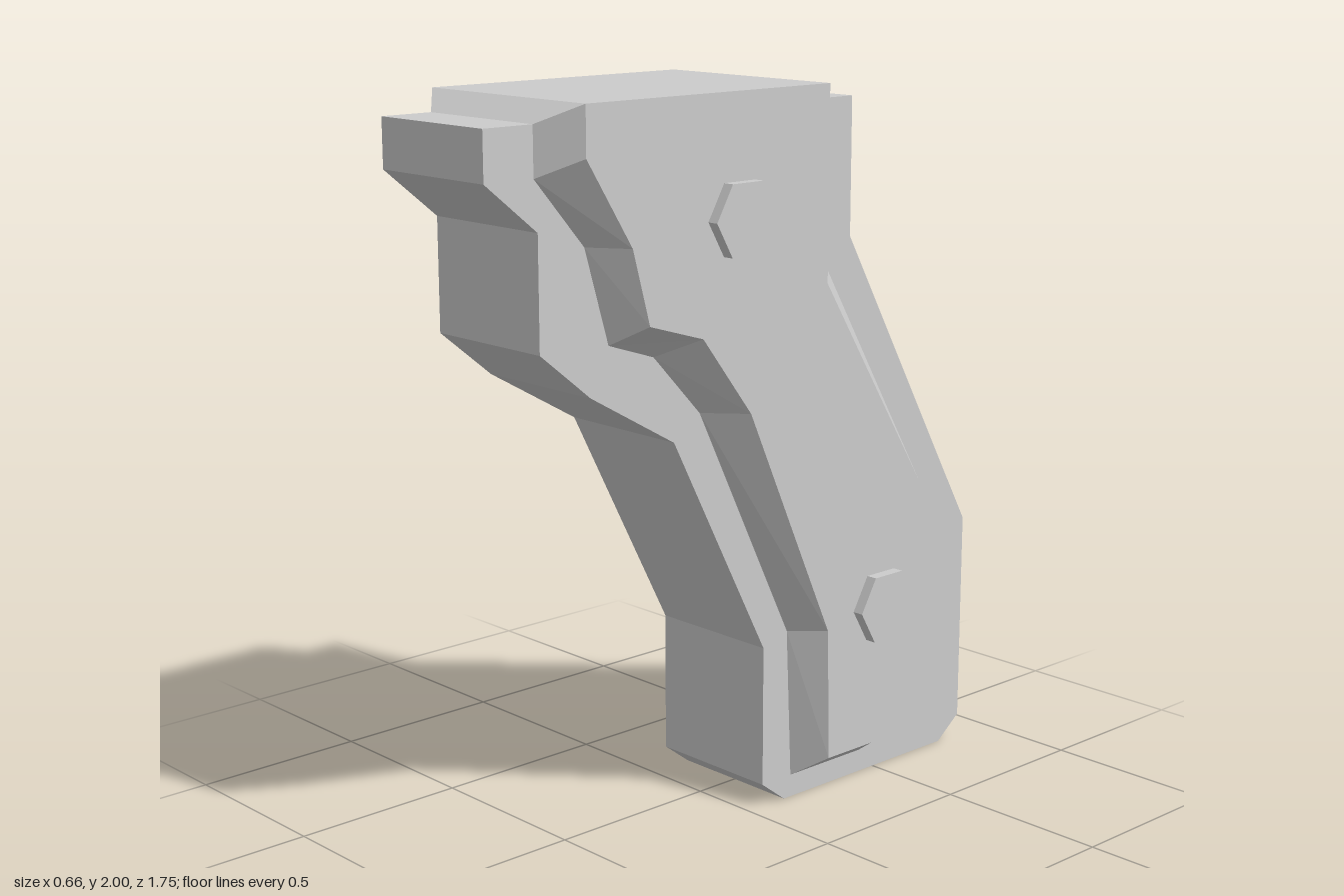
import * as THREE from 'three';

const CORE_HALF = 0.2, FACE_HALF = 0.3;

// Side profiles as [z, y], running from the top front down and round to the top back
const CORE = [
  [0.88, 1.95], [0.88, 1.82], [0.72, 1.69], [0.72, 1.39], [0.56, 1.26], [0.28, 1.1], [-0.05, 0.465],
  [-0.05, 0.065], [-0.135, 0], [-0.79, 0], [-0.875, 0.065], [-0.875, 0.68], [-0.37, 1.57], [-0.37, 1.95],
];
// Foot of the raised side panel, where it meets the core
const FOOT = [
  [0.73, 1.95], [0.73, 1.82], [0.575, 1.64], [0.5, 1.385], [0.35, 1.335], [0.19, 1.165], [-0.14, 0.495],
  [-0.16, 0.065], [-0.44, 0.065], [-0.495, 0.25], [-0.785, 0.38], [-0.78, 0.655], [-0.255, 1.535], [-0.255, 1.95],
];
// Flat outer face of the panel, inside the bevel
const FACE = [
  [0.65, 2], [0.65, 1.87], [0.505, 1.64], [0.45, 1.44], [0.27, 1.385], [0.1, 1.165], [-0.2, 0.505],
  [-0.21, 0.13], [-0.385, 0.13], [-0.44, 0.285], [-0.735, 0.405], [-0.7, 0.65], [-0.18, 1.475], [-0.18, 2],
];

const material = new THREE.MeshStandardMaterial({ color: 0xcccccc, flatShading: true });

function part(name, geometry) {
  const mesh = new THREE.Mesh(geometry, material);
  mesh.name = name;
  return mesh;
}

const outline = (loop, s) => new THREE.Shape(loop.map(([z, y]) => new THREE.Vector2(s * z, y)));
const at = (x, [z, y]) => [x, y, z];

// Separate flat quads from lists of four corners
function quads(list) {
  const geometry = new THREE.BufferGeometry();
  const corners = list.flatMap(([a, b, c, d]) => [a, b, c, a, c, d]).flat();
  geometry.setAttribute('position', new THREE.Float32BufferAttribute(corners, 3));
  geometry.computeVertexNormals();
  return geometry;
}

function sidePanel(s) {
  const panel = new THREE.Group();
  panel.name = s > 0 ? 'leftPanel' : 'rightPanel';

  const face = new THREE.ShapeGeometry(outline(FACE, -s));
  face.rotateY(s * Math.PI / 2).translate(s * FACE_HALF, 0, 0);
  panel.add(part('panelFace', face));

  // Bevel strip; the top edge is left to the lid
  const strip = [];
  for (let i = 0; i < FOOT.length - 1; i++) {
    const q = [
      at(s * CORE_HALF, FOOT[i]), at(s * CORE_HALF, FOOT[i + 1]),
      at(s * FACE_HALF, FACE[i + 1]), at(s * FACE_HALF, FACE[i]),
    ];
    strip.push(s > 0 ? q : q.reverse());
  }
  panel.add(part('panelBevel', quads(strip)));

  // Hexagonal bolt heads
  for (const [z, y] of [[0.145, 1.68], [-0.41, 0.537]]) {
    const bolt = new THREE.CylinderGeometry(0.108, 0.108, 0.05, 6);
    bolt.rotateZ(Math.PI / 2).translate(s * (FACE_HALF + 0.007), y, z);
    panel.add(part('boltHead', bolt));
  }
  return panel;
}

export function createModel() {
  const model = new THREE.Group();
  model.name = 'angledGrip';

  // Central body
  const core = new THREE.ExtrudeGeometry(outline(CORE, 1), { depth: 2 * CORE_HALF, bevelEnabled: false });
  core.translate(0, 0, -CORE_HALF).rotateY(-Math.PI / 2);
  model.add(part('core', core));

  model.add(sidePanel(1), sidePanel(-1));

  // Raised lid joining both panels: front slope, flat top, back slope
  const n = FACE.length - 1;
  const rows = [[CORE_HALF, FOOT[0]], [FACE_HALF, FACE[0]], [FACE_HALF, FACE[n]], [CORE_HALF, FOOT[n]]];
  const lid = [];
  for (let i = 0; i < 3; i++) {
    const [wa, a] = rows[i], [wb, b] = rows[i + 1];
    lid.push([at(-wa, a), at(wa, a), at(wb, b), at(-wb, b)]);
  }
  model.add(part('topLid', quads(lid)));

  return model;
}
